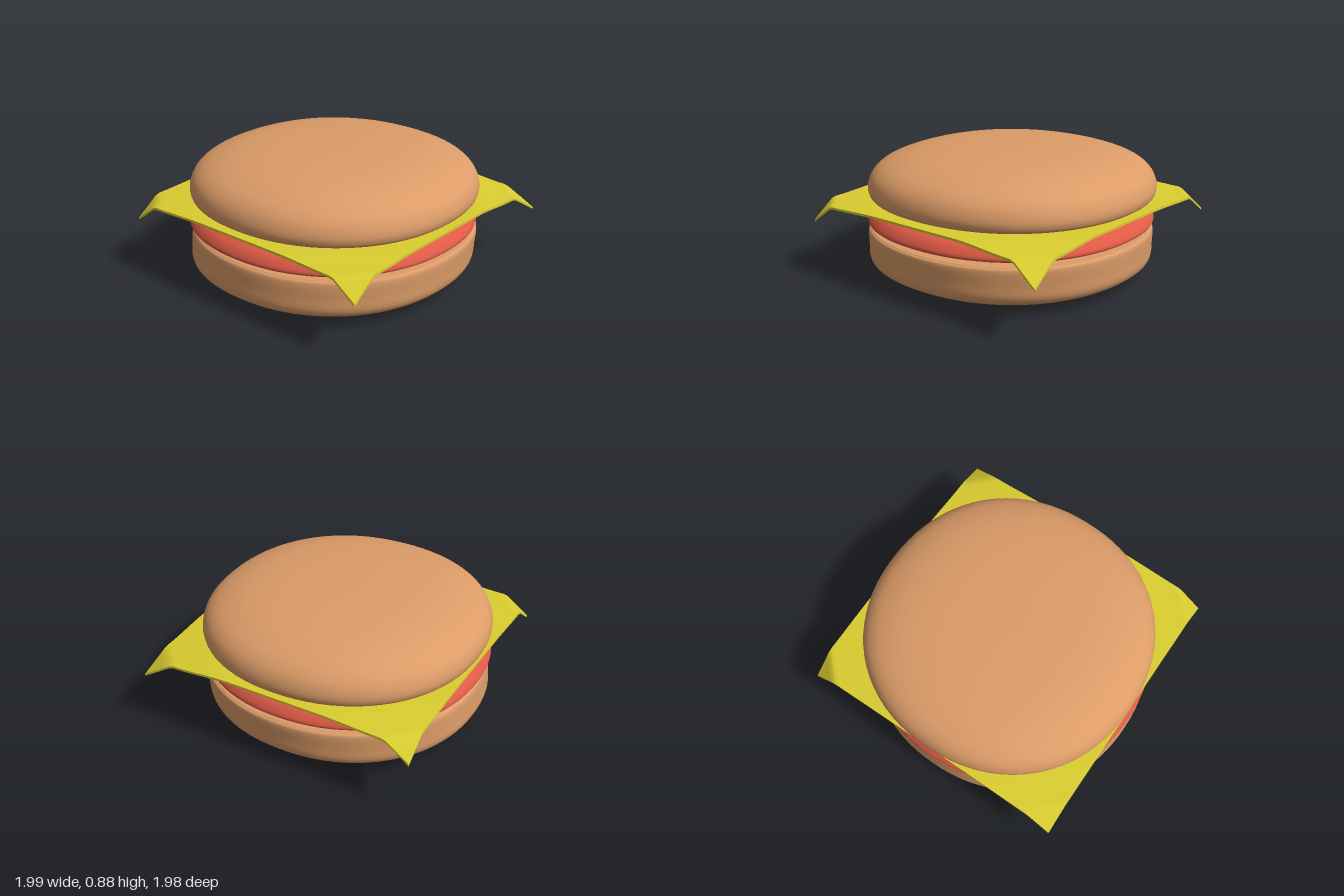
import * as THREE from 'three';
import { mergeVertices } from 'three/addons/utils/BufferGeometryUtils.js';

const mat = (color) => new THREE.MeshStandardMaterial({ color });

// Smooth round slab: a spun profile, made slightly squarish, with an optional lean.
function slab(name, profile, material, [cx, cz], lean = [0, 0]) {
  const curve = new THREE.SplineCurve(profile.map(([r, y]) => new THREE.Vector2(r, y)));
  const pts = curve.getPoints(56).map((p) => new THREE.Vector2(Math.max(p.x, 0), p.y));
  let geo = new THREE.LatheGeometry(pts, 80);
  const pos = geo.attributes.position;
  const n = 2.15;
  for (let i = 0; i < pos.count; i++) {
    const x = pos.getX(i), y = pos.getY(i), z = pos.getZ(i);
    const r = Math.hypot(x, z);
    const k = r < 1e-6 ? 1 : r / (Math.abs(x) ** n + Math.abs(z) ** n) ** (1 / n);
    pos.setXYZ(i, x * k + cx + lean[0] * y, y, z * k + cz + lean[1] * y);
  }
  geo.deleteAttribute('uv');
  geo.deleteAttribute('normal');
  geo = mergeVertices(geo, 1e-5);
  geo.computeVertexNormals();
  const mesh = new THREE.Mesh(geo, material);
  mesh.name = name;
  return mesh;
}

// Square slice whose four corners fold down over the patty.
function cheeseSlice(material) {
  const half = 0.967;
  const geo = new THREE.BoxGeometry(2 * half, 0.016, 2 * half, 60, 1, 60);
  const pos = geo.attributes.position;
  for (let i = 0; i < pos.count; i++) {
    let x = pos.getX(i), z = pos.getZ(i);
    const d = Math.abs(x) + Math.abs(z);
    const fold = Math.max(0, (d - 1.76) / (2 * half - 1.76));
    const sag = THREE.MathUtils.smoothstep(d, 1.3, 1.76);
    const longCorner = x > 0 && z < 0;
    const y = 0.52 + pos.getY(i) - sag * (longCorner ? 0.03 : 0.015) - fold * 0.125;
    // one corner is stretched outwards
    if (longCorner) {
      x += 0.04 * fold;
      z -= 0.025 * fold;
    }
    pos.setXYZ(i, x - 0.01, y, z - 0.003);
  }
  geo.computeVertexNormals();
  const mesh = new THREE.Mesh(geo, material);
  mesh.name = 'cheeseSlice';
  return mesh;
}

export function createModel() {
  const group = new THREE.Group();
  group.name = 'burger';
  const bun = mat(0xdc9c68);

  group.add(slab('bottomBun', [
    [0, 0.002], [0.35, 0.006], [0.65, 0.02], [0.83, 0.045], [0.93, 0.08], [0.968, 0.13],
    [0.971, 0.22], [0.971, 0.31], [0.955, 0.337], [0.9, 0.343], [0.5, 0.344], [0, 0.344],
  ], bun, [-0.03, 0.022], [0.06, -0.06]));

  group.add(slab('patty', [
    [0, 0.345], [0.5, 0.346], [0.85, 0.354], [0.95, 0.37], [0.975, 0.39], [0.96, 0.425],
    [0.92, 0.462], [0.83, 0.492], [0.65, 0.506], [0.35, 0.51], [0, 0.51],
  ], mat(0xe05a46), [-0.02, 0.01]));

  group.add(cheeseSlice(mat(0xdacd30)));

  group.add(slab('topBun', [
    [0, 0.535], [0.5, 0.537], [0.8, 0.543], [0.94, 0.556], [0.975, 0.6], [0.968, 0.665],
    [0.93, 0.73], [0.85, 0.787], [0.7, 0.837], [0.5, 0.866], [0.25, 0.88], [0, 0.882],
  ], bun, [-0.018, -0.005]));

  return group;
}
